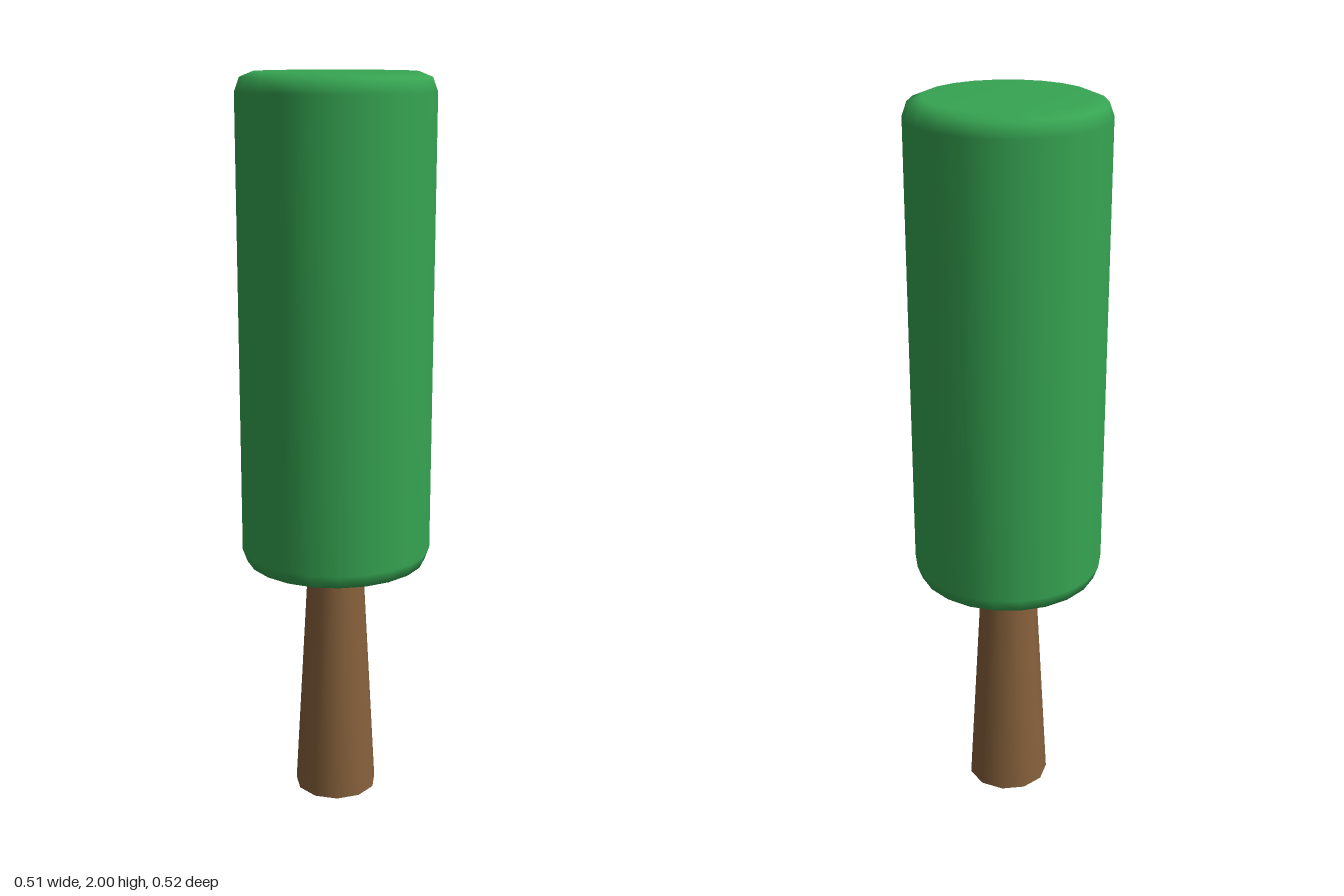
import * as THREE from 'three';

export function createModel() {
  const model = new THREE.Group();
  const leafGreen = new THREE.MeshStandardMaterial({ color: 0x36a552 });
  const barkBrown = new THREE.MeshStandardMaterial({ color: 0x87613c, side: THREE.DoubleSide });

  // Crown: a column with softly rounded rims, the same at both ends
  const bottom = 0.68, top = 2;
  const rim = [[0, 0], [0.212, 0], [0.247, 0.014], [0.26, 0.05]]; // radius, inset from the end
  const profile = [
    ...rim.map(([r, d]) => new THREE.Vector2(r, bottom + d)),
    ...[...rim].reverse().map(([r, d]) => new THREE.Vector2(r, top - d)),
  ];
  const crown = new THREE.Mesh(new THREE.LatheGeometry(profile, 22), leafGreen);
  crown.name = 'crown';

  // Trunk: tapered tube, open at the foot, running just into the crown
  const height = 0.7;
  const trunk = new THREE.Mesh(
    new THREE.CylinderGeometry(0.076, 0.115, height, 11, 1, true), barkBrown);
  trunk.position.y = height / 2;
  trunk.name = 'trunk';

  model.add(crown, trunk);
  return model;
}
